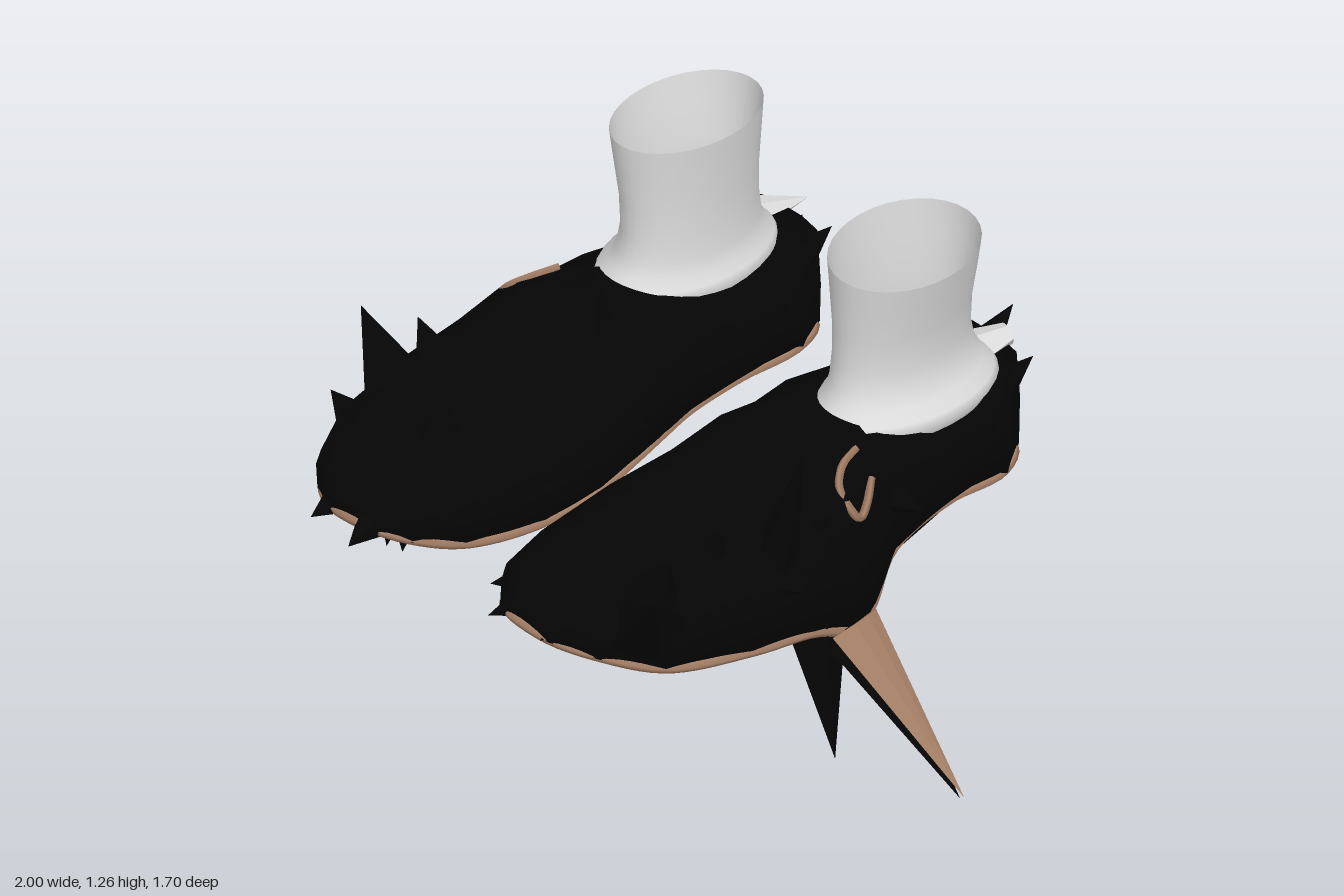
import * as THREE from 'three';

const D = THREE.DoubleSide;
const black = new THREE.MeshStandardMaterial({ name: 'black leather', color: 0x050505, side: D });
const white = new THREE.MeshStandardMaterial({ name: 'pale sock', color: 0xdcdcdc, side: D });
const tan = new THREE.MeshStandardMaterial({ name: 'tan trim', color: 0xa57f66, side: D });

const V = (x, y, z) => new THREE.Vector3(x, y, z);

function add(group, name, geometry, material) {
  const mesh = new THREE.Mesh(geometry, material);
  mesh.name = name;
  group.add(mesh);
  return mesh;
}

// Skin over a row of closed rings, with optional end caps
function loft(rings, capped) {
  const n = rings[0].length, pos = [], idx = [];
  rings.forEach(r => r.forEach(p => pos.push(p.x, p.y, p.z)));
  for (let i = 0; i < rings.length - 1; i++) {
    for (let j = 0; j < n; j++) {
      const a = i * n + j, b = i * n + (j + 1) % n;
      idx.push(a, b, a + n, b, b + n, a + n);
    }
  }
  if (capped) {
    const last = (rings.length - 1) * n;
    for (let j = 1; j < n - 1; j++) idx.push(0, j + 1, j, last, last + j, last + j + 1);
  }
  const g = new THREE.BufferGeometry();
  g.setAttribute('position', new THREE.Float32BufferAttribute(pos, 3));
  g.setIndex(idx);
  g.computeVertexNormals();
  return g;
}

// Faceted cone from a base point to a tip; flat squashes it across its slope
function spike(group, name, base, tip, r, { material = black, tipR = 0, sides = 5, flat = 1 } = {}) {
  const dir = tip.clone().sub(base);
  const g = new THREE.CylinderGeometry(tipR, r, dir.length(), sides).toNonIndexed();
  g.computeVertexNormals();
  const mesh = add(group, name, g, material);
  mesh.position.copy(base).lerp(tip, 0.5);
  mesh.quaternion.setFromUnitVectors(V(0, 1, 0), dir.normalize());
  mesh.scale.x = flat;
}

// z, inner x, outer x, top, sole, inner rim, outer rim
const stations = [
  [0.77, 0.24, 0.42, 0.68, 0.62, 0.63, 0.62],
  [0.70, 0.17, 0.53, 0.74, 0.57, 0.60, 0.59],
  [0.55, 0.13, 0.62, 0.77, 0.51, 0.54, 0.53],
  [0.30, 0.11, 0.67, 0.80, 0.48, 0.50, 0.49],
  [0.10, 0.12, 0.68, 0.82, 0.48, 0.50, 0.46],
  [-0.05, 0.14, 0.67, 0.87, 0.49, 0.52, 0.40],
  [-0.15, 0.16, 0.63, 0.87, 0.50, 0.53, 0.40],
  [-0.25, 0.17, 0.60, 0.84, 0.53, 0.55, 0.51],
  [-0.45, 0.18, 0.59, 0.81, 0.54, 0.56, 0.56],
  [-0.65, 0.19, 0.58, 0.825, 0.53, 0.55, 0.55],
  [-0.76, 0.25, 0.50, 0.835, 0.53, 0.55, 0.55],
];

function shoeBody(group, s) {
  const rings = stations.map(([z, a, b, top, sole, yi, yo]) => {
    const c = (a + b) / 2, w = (b - a) / 2;
    const h = top - Math.max(yi, yo);
    const drop = h * (z < -0.2 ? 0.05 : 0.2);
    return [
      [-0.97, yi], [-1, yi + h * 0.4], [-0.9, top - drop], [-0.45, top], [0.45, top],
      [0.9, top - drop], [1, yo + h * 0.5], [0.97, yo], [0.5, sole], [-0.5, sole],
    ].map(([u, y]) => V(s * (c + u * w), y, z));
  });
  add(group, 'shoeBody', loft(rings, true), black);

  // Welt tucked under the edge of the sole
  const outer = stations.map(t => V(s * (t[2] - 0.016), t[6], t[0] * 0.985));
  const inner = stations.map(t => V(s * (t[1] + 0.014), t[5], t[0] * 0.985)).reverse();
  const path = new THREE.CatmullRomCurve3([...outer, ...inner], true, 'centripetal');
  add(group, 'soleWelt', new THREE.TubeGeometry(path, 120, 0.014, 5, true), tan);

  // Curved stitch on the outer side
  const stitch = new THREE.CatmullRomCurve3([
    V(s * 0.555, 0.848, -0.15), V(s * 0.58, 0.84, -0.08), V(s * 0.618, 0.812, -0.035),
    V(s * 0.655, 0.755, -0.045), V(s * 0.658, 0.725, -0.07), V(s * 0.64, 0.745, -0.11),
    V(s * 0.612, 0.79, -0.15),
  ]);
  add(group, 'sideStitch', new THREE.TubeGeometry(stitch, 24, 0.011, 4), tan);
}

// y, x radius, z radius, x centre
const sockRows = [
  [0.79, 0.165, 0.26, 0.395], [0.82, 0.177, 0.275, 0.395], [0.84, 0.168, 0.262, 0.395],
  [0.87, 0.146, 0.235, 0.39], [0.91, 0.133, 0.215, 0.383], [0.97, 0.127, 0.206, 0.38],
  [1.06, 0.133, 0.205, 0.383], [1.16, 0.149, 0.212, 0.389], [1.25, 0.164, 0.216, 0.392],
];

function sock(group, s) {
  const n = 32, shift = s > 0 ? 0 : -0.018;
  const rings = sockRows.map(([y, rx, rz, cx], i) => Array.from({ length: n }, (_, j) => {
    const a = j / n * Math.PI * 2, tilt = i === sockRows.length - 1 ? 0.012 : 0;
    return V(
      s * (cx + rx * Math.cos(a)) + shift,
      y - tilt * (Math.cos(a) + 0.5 * Math.sin(a)),
      -0.45 + rz * Math.sin(a),
    );
  }));
  add(group, 'sock', loft(rings, false), white);
}

// Small thorns: tip x, y, z, length, base radius
const leftThorns = [
  [0.13, 0.78, -0.62, 0.12, 0.05], [0.18, 0.82, -0.75, 0.14, 0.06], [0.36, 0.87, -0.85, 0.16, 0.06],
  [0.52, 0.83, -0.77, 0.14, 0.06], [0.59, 0.78, -0.60, 0.1, 0.05], [0.68, 0.68, -0.25, 0.14, 0.05],
  [0.12, 0.70, -0.40, 0.12, 0.06], [0.13, 0.62, -0.22, 0.1, 0.06], [0.72, 0.66, 0.19, 0.12, 0.07],
  [0.03, 0.58, 0.24, 0.15, 0.08], [0.07, 0.60, 0.5, 0.12, 0.06], [0.11, 0.62, 0.70, 0.14, 0.06],
  [0.22, 0.63, 0.81, 0.13, 0.05], [0.38, 0.62, 0.78, 0.1, 0.05], [0.62, 0.88, 0.56, 0.22, 0.1],
  [0.35, 0.38, 0.35, 0.18, 0.08], [0.67, 0.81, 0.06, 0.14, 0.06], [0.45, 0.49, -0.76, 0.1, 0.05],
  [0.57, 0.84, 0.34, 0.17, 0.1],
];
const rightThorns = [
  [-0.66, 0.81, -0.71, 0.18, 0.08], [-0.56, 0.84, -0.76, 0.13, 0.06], [-0.36, 0.80, -0.80, 0.1, 0.05],
  [-0.22, 0.85, -0.77, 0.14, 0.06], [-0.16, 0.75, -0.57, 0.11, 0.06], [-0.62, 0.66, -0.18, 0.1, 0.06],
  [-0.13, 0.62, -0.05, 0.1, 0.06], [-0.09, 0.60, 0.3, 0.1, 0.06], [-0.69, 0.66, 0.31, 0.1, 0.08],
  [-0.70, 0.91, 0.39, 0.24, 0.1], [-0.62, 0.86, 0.27, 0.2, 0.1], [-0.28, 0.88, 0.49, 0.18, 0.1],
  [-0.42, 0.61, 0.82, 0.14, 0.07], [-0.25, 0.62, 0.85, 0.16, 0.07], [-0.45, 0.33, 0.48, 0.22, 0.08],
  [-0.4, 0.42, 0.58, 0.18, 0.07], [-0.30, 0.49, -0.76, 0.1, 0.05], [-0.20, 0.8, 0.1, 0.12, 0.08],
  [-0.66, 0.74, 0.53, 0.16, 0.09],
];

function thorns(group, list) {
  for (const [x, y, z, len, r] of list) {
    const tip = V(x, y, z);
    const core = V(Math.sign(x) * 0.19 + x * 0.5, 0.66, THREE.MathUtils.clamp(z, -0.55, 0.55));
    const base = tip.clone().add(core.sub(tip).setLength(len));
    spike(group, 'thorn', base, tip, r);
  }
}

export function createModel() {
  const model = new THREE.Group();
  model.name = 'spikedShoes';
  const [left, right] = [1, -1].map(s => {
    const shoe = new THREE.Group();
    shoe.name = s > 0 ? 'leftShoe' : 'rightShoe';
    const body = new THREE.Group();
    body.name = 'shoe';
    body.position.x = s > 0 ? -0.018 : 0;
    shoeBody(body, s);
    shoe.add(body);
    sock(shoe, s);
    model.add(shoe);
    return shoe;
  });
  thorns(left, leftThorns);
  thorns(right, rightThorns);

  // Large spikes of the left shoe
  spike(left, 'longSpikeUpper', V(0.645, 0.42, -0.045), V(1, 0.05, -0.09), 0.095, { material: tan, sides: 10, flat: 0.3 });
  spike(left, 'longSpikeUnder', V(0.615, 0.39, -0.05), V(0.985, 0.04, -0.09), 0.1, { flat: 0.6 });
  spike(left, 'lowerSpike', V(0.56, 0.50, 0.03), V(0.655, 0.05, 0.03), 0.1);
  spike(left, 'rearLowerSpike', V(0.55, 0.46, -0.12), V(0.6, 0.17, -0.14), 0.06);
  spike(left, 'upperSpike', V(0.61, 0.72, 0.19), V(0.72, 1.08, 0.2), 0.06);
  spike(left, 'toeSpike', V(0.54, 0.66, 0.57), V(0.72, 0.865, 0.70), 0.11);
  spike(left, 'innerSpike', V(0.17, 0.58, -0.09), V(0.0, 0.39, -0.1), 0.09);

  // Large spikes of the right shoe, the longest with trim along its front and back
  spike(right, 'longSpike', V(-0.60, 0.45, -0.05), V(-1, 0, -0.1), 0.14, { flat: 0.6 });
  for (const [z0, z1] of [[0.03, -0.094], [-0.14, -0.106]]) {
    const edge = new THREE.LineCurve3(V(-0.69, 0.325, z0), V(-0.985, 0.012, z1));
    add(right, 'longSpikeTrim', new THREE.TubeGeometry(edge, 1, 0.014, 4), tan);
  }
  spike(right, 'bluntSpike', V(-0.55, 0.50, 0.06), V(-0.745, 0.05, 0.06), 0.14, { tipR: 0.045 });
  spike(right, 'outerSpike', V(-0.58, 0.6, -0.04), V(-0.74, 0.48, -0.08), 0.1);

  // Raised peak of the right tongue
  spike(right, 'tonguePeak', V(-0.37, 0.82, -0.03), V(-0.30, 0.96, -0.03), 0.18);

  // Pale torn tabs at the heels
  spike(left, 'heelTab', V(0.39, 0.82, -0.68), V(0.42, 0.845, -0.78), 0.06, { material: white, tipR: 0.03 });
  spike(right, 'heelTab', V(-0.42, 0.82, -0.70), V(-0.36, 0.845, -0.82), 0.05, { material: white });

  return model;
}
